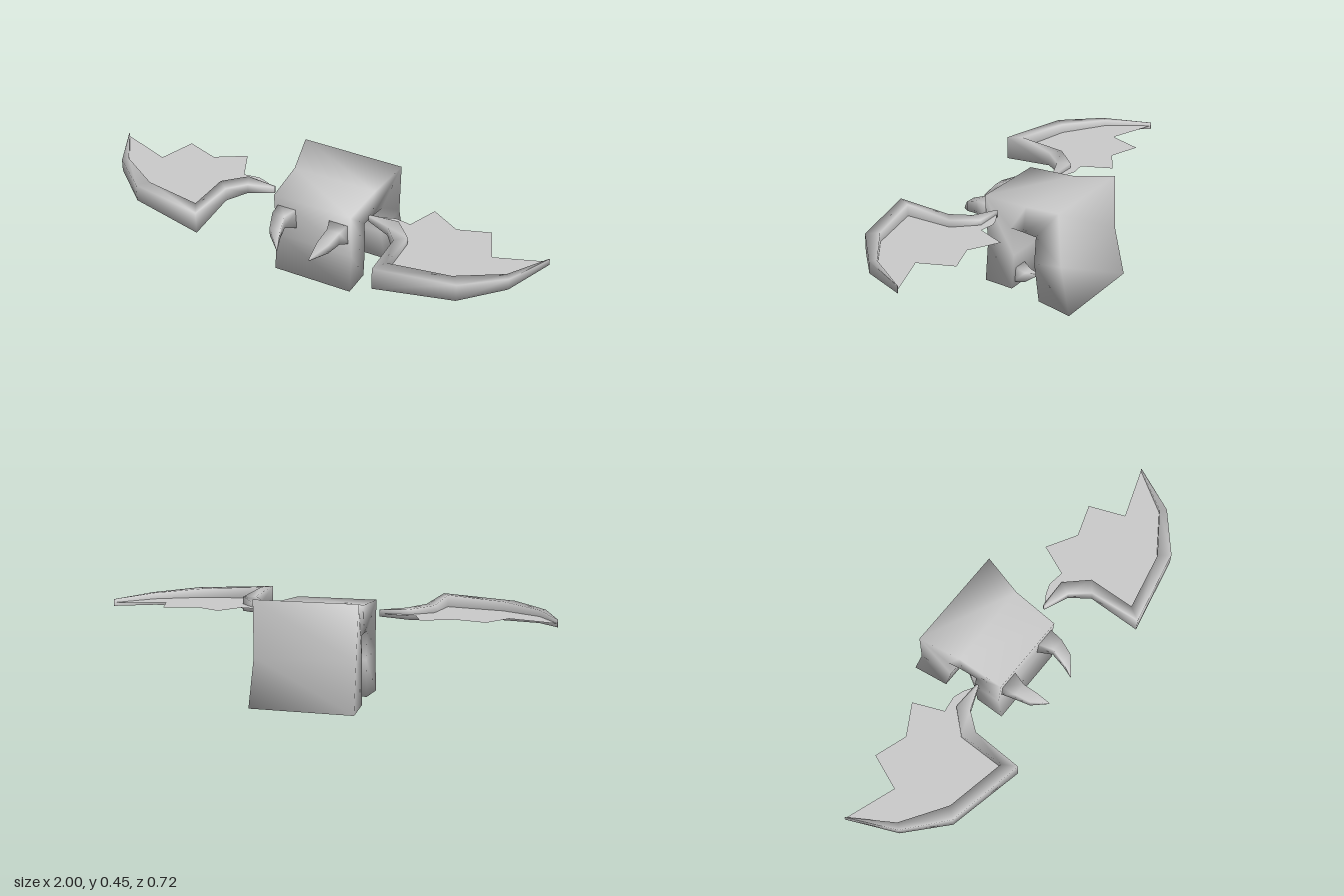
import * as THREE from 'three';

const material = () => new THREE.MeshStandardMaterial({ color: 0xcccccc });

// Smooth skin over four-cornered rings, closed at both ends.
function loft(name, rings) {
  const pos = rings.flat(2), idx = [], last = (rings.length - 1) * 4;
  for (let r = 0; r < rings.length - 1; r++) {
    for (let k = 0; k < 4; k++) {
      const a = r * 4 + k, b = r * 4 + (k + 1) % 4;
      idx.push(a, b, b + 4, a, b + 4, a + 4);
    }
  }
  idx.push(0, 2, 1, 0, 3, 2, last, last + 1, last + 2, last, last + 2, last + 3);
  // Turn all faces outward, whichever way the rings run.
  const p = i => new THREE.Vector3().fromArray(pos, idx[i] * 3);
  let volume = 0;
  for (let i = 0; i < idx.length; i += 3) volume += p(i).dot(p(i + 1).cross(p(i + 2)));
  if (volume < 0) idx.reverse();
  const g = new THREE.BufferGeometry();
  g.setAttribute('position', new THREE.Float32BufferAttribute(pos, 3));
  g.setIndex(idx);
  g.computeVertexNormals();
  const mesh = new THREE.Mesh(g, material());
  mesh.name = name;
  return mesh;
}

// Tapered spike: stations of [x, y, z, half width, half height].
const spike = (name, stations) => loft(name, stations.map(([x, y, z, w, h]) =>
  [[x - w, y - h, z], [x + w, y - h, z], [x + w, y + h, z], [x - w, y + h, z]]));

// Arch-shaped body: [outer z, outer y, outer half width, inner z, inner y, inner half width].
function createBody() {
  const stations = [
    [0.087, 0.025, 0.18, -0.047, 0.02, 0.182],
    [0.073, 0.21, 0.18, -0.058, 0.18, 0.182],
    [0.087, 0.42, 0.18, -0.045, 0.303, 0.183],
    [-0.125, 0.422, 0.192, -0.11, 0.303, 0.19],
    [-0.305, 0.45, 0.232, -0.18, 0.303, 0.203],
    [-0.315, 0.21, 0.225, -0.172, 0.18, 0.203],
    [-0.36, 0, 0.232, -0.2, 0.015, 0.212],
  ];
  return loft('body', stations.map(([zo, yo, wo, zi, yi, wi]) =>
    [[wo, yo, zo], [-wo, yo, zo], [-wi, yi, zi], [wi, yi, zi]]));
}

// Wing: bent bone along the leading edge and a thin jagged membrane.
function createWing() {
  const wing = new THREE.Group();
  const y = 0.376;
  // [front x, front z, rear x, rear z, half height]
  const bone = [
    [0.222, 0.002, 0.225, -0.008, 0.014],
    [0.33, 0.045, 0.355, -0.01, 0.022],
    [0.393, 0.125, 0.44, 0.085, 0.031],
    [0.405, 0.355, 0.44, 0.295, 0.051],
    [0.74, 0.285, 0.70, 0.24, 0.04],
    [0.905, 0.14, 0.885, 0.115, 0.027],
    [1, -0.067, 0.997, -0.067, 0.015],
  ];
  wing.add(loft('wingBone', bone.map(([xo, zo, xi, zi, h]) =>
    [[xo, y - h, zo], [xo, y + h, zo], [xi, y + h, zi], [xi, y - h, zi]])));

  const outline = [
    [0.222, 0], [0.28, -0.035], [0.325, -0.05], [0.395, -0.04], [0.45, -0.17],
    [0.58, -0.095], [0.72, -0.142], [0.78, 0.01], [0.998, -0.067],
    [0.895, 0.125], [0.72, 0.26], [0.42, 0.32], [0.42, 0.1], [0.345, 0.02],
  ];
  const flat = new THREE.ShapeGeometry(
    new THREE.Shape(outline.map(([x, z]) => new THREE.Vector2(x, -z))));
  flat.rotateX(-Math.PI / 2).translate(0, y, 0);
  const membrane = new THREE.Mesh(flat, material());
  membrane.material.side = THREE.DoubleSide;
  membrane.name = 'wingMembrane';
  wing.add(membrane);
  return wing;
}

export function createModel() {
  const model = new THREE.Group();
  model.name = 'wingedCreature';
  model.add(createBody());

  for (const [side, sign] of [['left', 1], ['right', -1]]) {
    const half = new THREE.Group();
    half.name = side + 'Side';
    const wing = createWing();
    wing.name = side + 'Wing';
    // Front horn curling forward, inward and down
    const horn = spike(side + 'Horn', [
      [0.12, 0.318, 0.065, 0.046, 0.053],
      [0.128, 0.343, 0.145, 0.029, 0.03],
      [0.112, 0.325, 0.208, 0.025, 0.021],
      [0.075, 0.284, 0.262, 0.002, 0.002],
    ]);
    // Small claw on the rear of the front slab
    const claw = spike(side + 'Claw', [
      [0.125, 0.081, -0.04, 0.038, 0.038],
      [0.125, 0.07, -0.092, 0.024, 0.021],
      [0.12, 0.086, -0.145, 0.002, 0.002],
    ]);
    half.add(wing, horn, claw);
    half.scale.x = sign;
    model.add(half);
  }
  return model;
}
